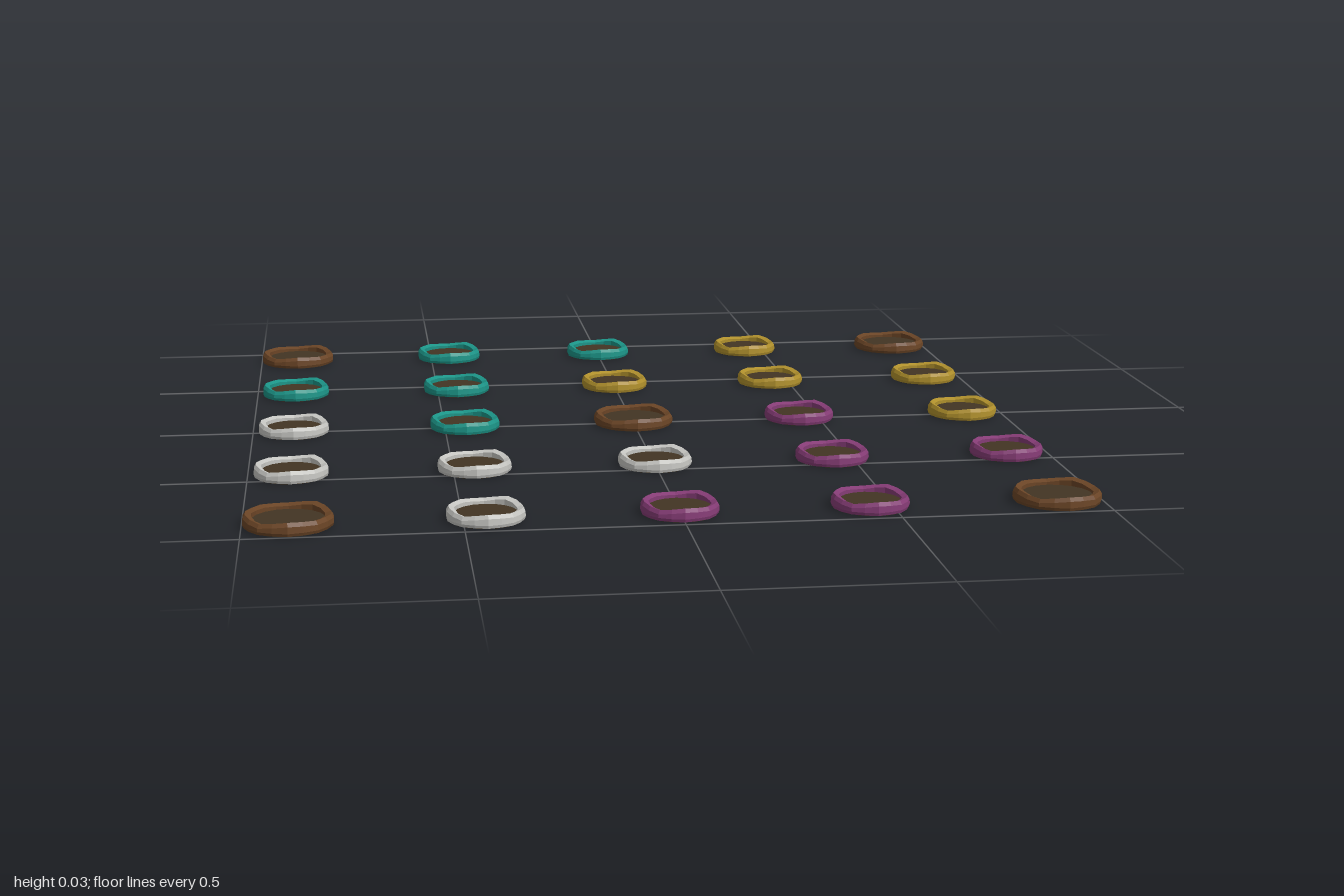
import * as THREE from 'three';

const SPACING = 0.447;
const SIDES = 18;

const material = (name, color) => {
  const m = new THREE.MeshStandardMaterial({ color });
  m.name = name;
  return m;
};

// Lumpy stone ring: one cross-section swept round, with its crest and rim varied by angle
function ringGeometry(outer, inner) {
  const positions = [], indices = [];
  const rows = 6;
  for (let i = 0; i < SIDES; i++) {
    const a = (i / SIDES) * Math.PI * 2;
    const lump = 0.5 + 0.3 * Math.sin(3 * a + 0.6) + 0.2 * Math.sin(5 * a + 2);
    const rim = outer * (0.985 + 0.015 * Math.cos(8 * a));
    const top = 0.025 + 0.009 * lump;
    const profile = [
      [inner, 0.003], [rim * 0.975, 0.001], [rim, 0.008],
      [rim * 0.99, top - 0.009], [rim * 0.935, top], [inner, top - 0.005],
    ];
    for (const [r, y] of profile) positions.push(Math.sin(a) * r, y, Math.cos(a) * r);
    const n = (i + 1) % SIDES;
    for (let j = 0; j < rows; j++) {
      const k = (j + 1) % rows;
      const p = i * rows + j, q = n * rows + j, r = n * rows + k, s = i * rows + k;
      indices.push(p, q, r, p, r, s);
    }
  }
  const g = new THREE.BufferGeometry();
  g.setAttribute('position', new THREE.Float32BufferAttribute(positions, 3));
  g.setIndex(indices);
  const flat = g.toNonIndexed();
  flat.computeVertexNormals();
  return flat;
}

// Flat floor that closes the ring and forms its underside
function floorGeometry(radius) {
  return new THREE.CylinderGeometry(radius, radius, 0.015, 24).translate(0, 0.0075, 0);
}

export function createModel() {
  const model = new THREE.Group();
  model.name = 'boardSpaces';

  const colours = {
    B: material('brown', 0x6b4526),
    T: material('teal', 0x1c9588),
    Y: material('gold', 0xb0902c),
    P: material('purple', 0x863c76),
    W: material('paleGrey', 0xc6c6c2),
  };
  const earth = material('darkEarth', 0x423523);

  const large = { ring: ringGeometry(0.106, 0.084), floor: floorGeometry(0.099) };
  const small = { ring: ringGeometry(0.093, 0.073), floor: floorGeometry(0.087) };

  // Rows run from back to front; brown spaces are the large ones
  const layout = ['BTTYB', 'TTYYY', 'WTBPY', 'WWWPP', 'BWPPB'];
  layout.forEach((row, r) => [...row].forEach((key, c) => {
    const size = key === 'B' ? large : small;
    const space = new THREE.Group();
    space.name = key === 'B' ? 'largeSpace' : 'smallSpace';
    const ring = new THREE.Mesh(size.ring, colours[key]);
    ring.name = 'stoneRing';
    const floor = new THREE.Mesh(size.floor, earth);
    floor.name = 'earthFloor';
    space.add(ring, floor);
    space.position.set((c - 2) * SPACING, 0, (r - 2) * SPACING);
    model.add(space);
  }));
  return model;
}
